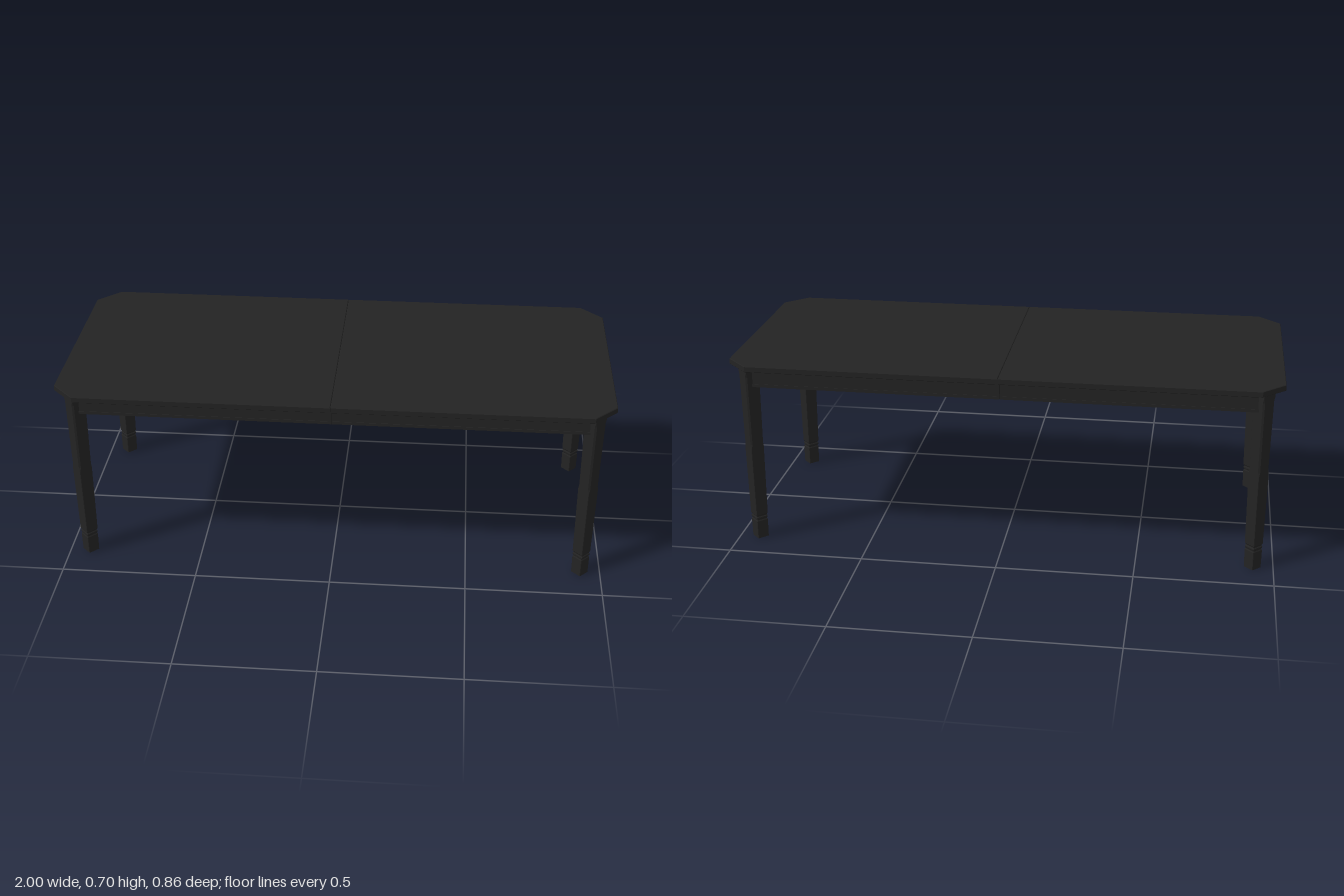
import * as THREE from 'three';

const black = new THREE.MeshStandardMaterial({ color: 0x232323 });
black.name = 'black wood';

const TOP = 0.705, UNDER = 0.683;
const LEG_X = 0.925, LEG_Z = 0.36;

// Leg section: a square turned 45 degrees, with corners cut by c
function legRing(r, c) {
  const ring = [];
  for (let i = 0; i < 4; i++) {
    const a = i * Math.PI / 2, ux = Math.cos(a), uz = Math.sin(a);
    for (const s of [-1, 1]) ring.push([ux * (r - c) - uz * s * c, uz * (r - c) + ux * s * c]);
  }
  return ring;
}

// Lofts [y, radius, cornerCut] rows into a closed, flat-faced solid
function legGeometry(rows) {
  const pos = [];
  const rings = rows.map(([y, r, c]) => legRing(r, c).map(([x, z]) => [x, y, z]));
  const tri = (a, b, c) => pos.push(...a, ...b, ...c);
  for (let k = 0; k < rings.length - 1; k++) {
    const lo = rings[k], hi = rings[k + 1];
    for (let i = 0; i < 8; i++) {
      const j = (i + 1) % 8;
      tri(lo[i], hi[i], hi[j]);
      tri(lo[i], hi[j], lo[j]);
    }
  }
  const first = rings[0], last = rings[rings.length - 1];
  for (let i = 1; i < 7; i++) {
    tri(first[0], first[i], first[i + 1]);
    tri(last[0], last[i + 1], last[i]);
  }
  const g = new THREE.BufferGeometry();
  g.setAttribute('position', new THREE.Float32BufferAttribute(pos, 3));
  g.computeVertexNormals();
  return g;
}

// One half of the tabletop, with two clipped outer corners
function topHalfGeometry(side) {
  const b = 0.002, x0 = 0.0005 + b, x1 = 1 - b, z1 = 0.43 - b, cut = 0.08;
  const pts = [[x0, -z1], [x1 - cut, -z1], [x1, -z1 + cut], [x1, z1 - cut], [x1 - cut, z1], [x0, z1]];
  const shape = new THREE.Shape(pts.map(([x, z]) => new THREE.Vector2(side * x, z)));
  const g = new THREE.ExtrudeGeometry(shape, {
    depth: TOP - UNDER - 2 * b, bevelEnabled: true, bevelSize: b, bevelThickness: b, bevelSegments: 1,
  });
  g.rotateX(-Math.PI / 2);
  g.translate(0, UNDER + b, 0);
  return g;
}

export function createModel() {
  const table = new THREE.Group();
  table.name = 'diningTable';

  const add = (name, geometry) => {
    const mesh = new THREE.Mesh(geometry, black);
    mesh.name = name;
    table.add(mesh);
    return mesh;
  };
  const box = (name, x0, x1, y0, y1, z0, z1) =>
    add(name, new THREE.BoxGeometry(x1 - x0, y1 - y0, z1 - z0))
      .position.set((x0 + x1) / 2, (y0 + y1) / 2, (z0 + z1) / 2);

  // Tapered legs with a turned neck above the foot and stopped chamfers
  const legGeo = legGeometry([
    [0, 0.031, 0.001], [0.07, 0.032, 0.001], [0.074, 0.029, 0.001], [0.077, 0.029, 0.001],
    [0.080, 0.032, 0.001], [0.085, 0.032, 0.001], [0.088, 0.029, 0.001], [0.091, 0.029, 0.001],
    [0.095, 0.033, 0.001], [0.37, 0.0363, 0.001], [0.385, 0.0365, 0.004],
    [0.65, 0.0397, 0.004], [0.665, 0.04, 0.001], [UNDER, 0.04, 0.001],
  ]);

  for (const sx of [-1, 1]) {
    const side = sx > 0 ? 'left' : 'right';
    add(side + 'TopHalf', topHalfGeometry(sx));

    // End apron with a bead along its lower edge
    const ax = sx * 0.937;
    box(side + 'EndApron', ax - 0.01, ax + 0.01, 0.61, UNDER, -0.345, 0.345);
    box(side + 'EndBead', ax - 0.012, ax + 0.012, 0.612, 0.622, -0.335, 0.335);

    // Cross rail under the top
    const rx = sx * 0.46;
    box(side + 'CrossRail', rx - 0.012, rx + 0.012, 0.62, UNDER, -0.365, 0.365);

    for (const sz of [-1, 1]) {
      const name = side + (sz > 0 ? 'Front' : 'Back');

      // Long aprons are split at the middle like the top
      const az = sz * 0.372, inner = sx * 0.001, outer = sx * 0.91;
      const [x0, x1] = [Math.min(inner, outer), Math.max(inner, outer)];
      box(name + 'Apron', x0, x1, 0.61, UNDER, az - 0.01, az + 0.01);
      box(name + 'Bead', x0, x1, 0.612, 0.622, az - 0.012, az + 0.012);

      add(name + 'Leg', legGeo).position.set(sx * LEG_X, 0, sz * LEG_Z);

      // Diagonal corner brace behind the leg
      const brace = add(name + 'CornerBrace', new THREE.BoxGeometry(0.13, 0.06, 0.02));
      brace.position.set(sx * 0.89, UNDER - 0.03, sz * 0.325);
      brace.rotation.y = sx * sz * Math.PI / 4;
    }
  }

  // Centre rail running the length of the table
  box('centreRail', -0.93, 0.93, 0.64, UNDER, -0.015, 0.015);

  return table;
}
